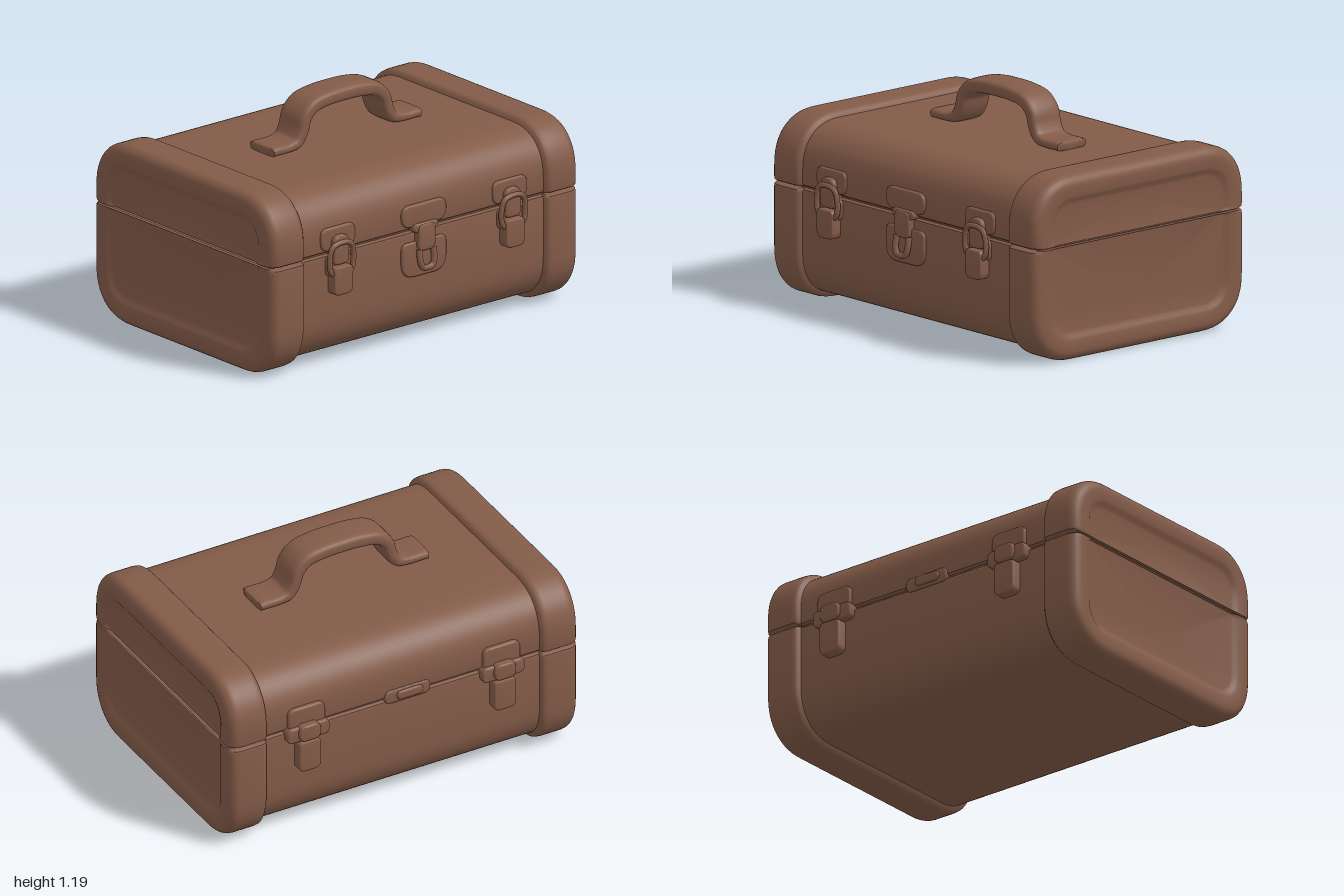
import * as THREE from 'three';
import { toCreasedNormals } from 'three/addons/utils/BufferGeometryUtils.js';

const leather = new THREE.MeshStandardMaterial({ color: 0x835b48 });
leather.name = 'brown leather';

const spow = (v, e) => Math.sign(v) * Math.abs(v) ** e;

function addMesh(parent, name, geometry) {
  const mesh = new THREE.Mesh(geometry, leather);
  mesh.name = name;
  parent.add(mesh);
  return mesh;
}

// Skin over closed cross-sections, with both ends closed by fans
function loft(rings, crease) {
  const n = rings[0].length, pos = [], idx = [];
  rings.forEach((ring) => ring.forEach((p) => pos.push(p.x, p.y, p.z)));
  for (let i = 0; i < rings.length - 1; i++) {
    for (let j = 0; j < n; j++) {
      const a = i * n + j, b = i * n + (j + 1) % n;
      idx.push(a, b, b + n, a, b + n, a + n);
    }
  }
  [0, rings.length - 1].forEach((i) => {
    const c = new THREE.Vector3();
    rings[i].forEach((p) => c.addScaledVector(p, 1 / n));
    const ci = pos.length / 3;
    pos.push(c.x, c.y, c.z);
    for (let j = 0; j < n; j++) {
      const a = i * n + j, b = i * n + (j + 1) % n;
      if (i === 0) idx.push(ci, b, a); else idx.push(ci, a, b);
    }
  });
  // Turn the faces outwards if the signed volume is negative
  const v = (i) => new THREE.Vector3().fromArray(pos, i * 3);
  let volume = 0;
  for (let i = 0; i < idx.length; i += 3) {
    volume += v(idx[i]).dot(v(idx[i + 1]).cross(v(idx[i + 2])));
  }
  if (volume < 0) idx.reverse();
  const g = new THREE.BufferGeometry();
  g.setAttribute('position', new THREE.Float32BufferAttribute(pos, 3));
  g.setIndex(idx);
  return toCreasedNormals(g, crease);
}

// Half of the case section: from the seam round to the seam, inset by d
function halfSection(x, d, seam, end) {
  const hz = 0.705 - d, dir = Math.sign(end - seam);
  const h = Math.abs(end - seam) - d, r = 0.27 - d;
  const side = [[hz - 0.014, 0], [hz - 0.003, 0.007], [hz, 0.02]];
  for (let i = 0; i <= 14; i++) {
    const a = (i / 14) * Math.PI / 2;
    side.push([hz - r + r * spow(Math.cos(a), 0.87), h - r + r * spow(Math.sin(a), 0.87)]);
  }
  const all = [...side, ...side.slice().reverse().map(([z, y]) => [-z, y])];
  return all.map(([z, y]) => new THREE.Vector3(x, seam + dir * y, z));
}

// Lid or base with raised end bands and recessed end panels
function caseHalf(seam, end) {
  const steps = [[0.785, 0.03], [0.793, 0.012], [0.803, 0.003], [0.825, 0], [0.945, 0]];
  for (let i = 1; i <= 6; i++) {
    const a = (i / 6) * Math.PI / 2;
    steps.push([0.945 + 0.055 * Math.sin(a), 0.055 * (1 - Math.cos(a))]);
  }
  steps.push([0.999, 0.105], [0.994, 0.12], [0.984, 0.135], [0.981, 0.15]);
  const all = [...steps.slice().reverse().map(([x, d]) => [-x, d]), ...steps];
  return loft(all.map(([x, d]) => halfSection(x, d, seam, end)), 0.7);
}

function roundedShape(w, h, rTop, rBottom) {
  const s = new THREE.Shape(), x = w / 2, y = h / 2;
  s.moveTo(-x + rBottom, -y);
  s.lineTo(x - rBottom, -y);
  s.quadraticCurveTo(x, -y, x, -y + rBottom);
  s.lineTo(x, y - rTop);
  s.quadraticCurveTo(x, y, x - rTop, y);
  s.lineTo(-x + rTop, y);
  s.quadraticCurveTo(-x, y, -x, y - rTop);
  s.lineTo(-x, -y + rBottom);
  s.quadraticCurveTo(-x, -y, -x + rBottom, -y);
  return s;
}

// Soft-edged plate given by its height range, width and front depth
function plate(parent, name, x, y0, y1, w, front, rTop = 0.025, rBottom = 0.025) {
  const b = 0.009, back = 0.63;
  const g = new THREE.ExtrudeGeometry(
    roundedShape(w - 2 * b, y1 - y0 - 2 * b, rTop, rBottom),
    { depth: front - back - b, bevelThickness: b, bevelSize: b, bevelSegments: 3, curveSegments: 6 });
  g.translate(x, (y0 + y1) / 2, back);
  return addMesh(parent, name, toCreasedNormals(g, 0.7));
}

function wire(parent, name, points, radius, closed) {
  const curve = new THREE.CatmullRomCurve3(points.map((p) => new THREE.Vector3(...p)), closed);
  return addMesh(parent, name, new THREE.TubeGeometry(curve, 40, radius, 8, closed));
}

function frontLatch(x) {
  const g = new THREE.Group();
  g.name = 'frontLatch';
  plate(g, 'latchPlate', 0, 0.625, 0.745, 0.22, 0.688, 0.03, 0.04);
  plate(g, 'latchHook', 0, 0.55, 0.705, 0.1, 0.715, 0.035, 0.02);
  plate(g, 'latchBase', 0, 0.49, 0.6, 0.16, 0.69);
  plate(g, 'latchLever', 0, 0.395, 0.545, 0.12, 0.732, 0.015, 0.025);
  wire(g, 'latchLoop', [[-0.06, 0.51, 0.71], [-0.078, 0.58, 0.71], [-0.055, 0.655, 0.715],
    [0.055, 0.655, 0.715], [0.078, 0.58, 0.71], [0.06, 0.51, 0.71]], 0.014, true);
  g.position.x = x;
  return g;
}

function backLatch(x) {
  const g = new THREE.Group();
  g.name = 'backLatch';
  plate(g, 'hingePlate', 0, 0.6, 0.735, 0.21, 0.695, 0.03, 0.02);
  plate(g, 'hingeBar', 0, 0.55, 0.635, 0.24, 0.715, 0.02, 0.02);
  plate(g, 'hingeKnuckle', 0, 0.555, 0.645, 0.12, 0.735);
  plate(g, 'hingeTail', 0, 0.375, 0.55, 0.125, 0.732, 0.015, 0.025);
  g.position.x = x;
  return g;
}

// Arched strap handle with flat feet, swept along half a path and its mirror
function handle() {
  const half = [[-0.485, 0.95, 0.024], [-0.46, 0.953, 0.026], [-0.37, 0.953, 0.026], [-0.31, 0.968, 0.032],
    [-0.277, 1.02, 0.035], [-0.257, 1.085, 0.037], [-0.205, 1.135, 0.039], [-0.11, 1.155, 0.04]];
  const points = [...half, [0, 1.159, 0.04], ...half.slice().reverse().map(([x, y, t]) => [-x, y, t])];
  // The third coordinate carries the half thickness
  const curve = new THREE.CatmullRomCurve3(points.map((p) => new THREE.Vector3(...p)));
  const rings = [], N = 72;
  for (let i = 0; i <= N; i++) {
    const p = curve.getPoint(i / N), t = curve.getTangent(i / N).setZ(0).normalize();
    const endScale = i === 0 || i === N ? 0.8 : 1;
    const ring = [];
    for (let j = 0; j < 28; j++) {
      const a = (j / 28) * Math.PI * 2;
      const off = p.z * endScale * spow(Math.sin(a), 0.6);
      ring.push(new THREE.Vector3(p.x - t.y * off, p.y + t.x * off,
        0.095 * endScale * spow(Math.cos(a), 0.45)));
    }
    rings.push(ring);
  }
  return loft(rings, 0.8);
}

export function createModel() {
  const model = new THREE.Group();
  model.name = 'case';

  // Shell, with a core showing inside the seam
  addMesh(model, 'lid', caseHalf(0.614, 0.96));
  addMesh(model, 'base', caseHalf(0.604, 0.008));
  const core = addMesh(model, 'seamCore', new THREE.BoxGeometry(1.95, 0.06, 1.31));
  core.position.y = 0.609;

  addMesh(model, 'handle', handle());

  // Front latches and central clasp
  [-1, 1].forEach((s) => model.add(frontLatch(s * 0.56)));
  const clasp = new THREE.Group();
  clasp.name = 'clasp';
  plate(clasp, 'claspPlate', 0, 0.63, 0.745, 0.29, 0.69, 0.04, 0.05);
  plate(clasp, 'claspTab', 0, 0.6, 0.645, 0.16, 0.705, 0.01, 0.015);
  plate(clasp, 'claspStrap', 0, 0.5, 0.64, 0.11, 0.712);
  plate(clasp, 'claspShield', 0, 0.365, 0.55, 0.29, 0.69, 0.03, 0.07);
  wire(clasp, 'claspStaple', [[-0.045, 0.51, 0.7], [-0.045, 0.45, 0.71], [-0.03, 0.415, 0.712],
    [0.03, 0.415, 0.712], [0.045, 0.45, 0.71], [0.045, 0.51, 0.7]], 0.016, false);
  model.add(clasp);

  // Back hardware
  const back = new THREE.Group();
  back.name = 'backHardware';
  [-1, 1].forEach((s) => back.add(backLatch(s * 0.56)));
  plate(back, 'middleHinge', 0.025, 0.585, 0.66, 0.26, 0.685);
  plate(back, 'middleHingePin', 0.035, 0.6, 0.65, 0.15, 0.697, 0.015, 0.015);
  back.rotation.y = Math.PI;
  model.add(back);

  return model;
}
